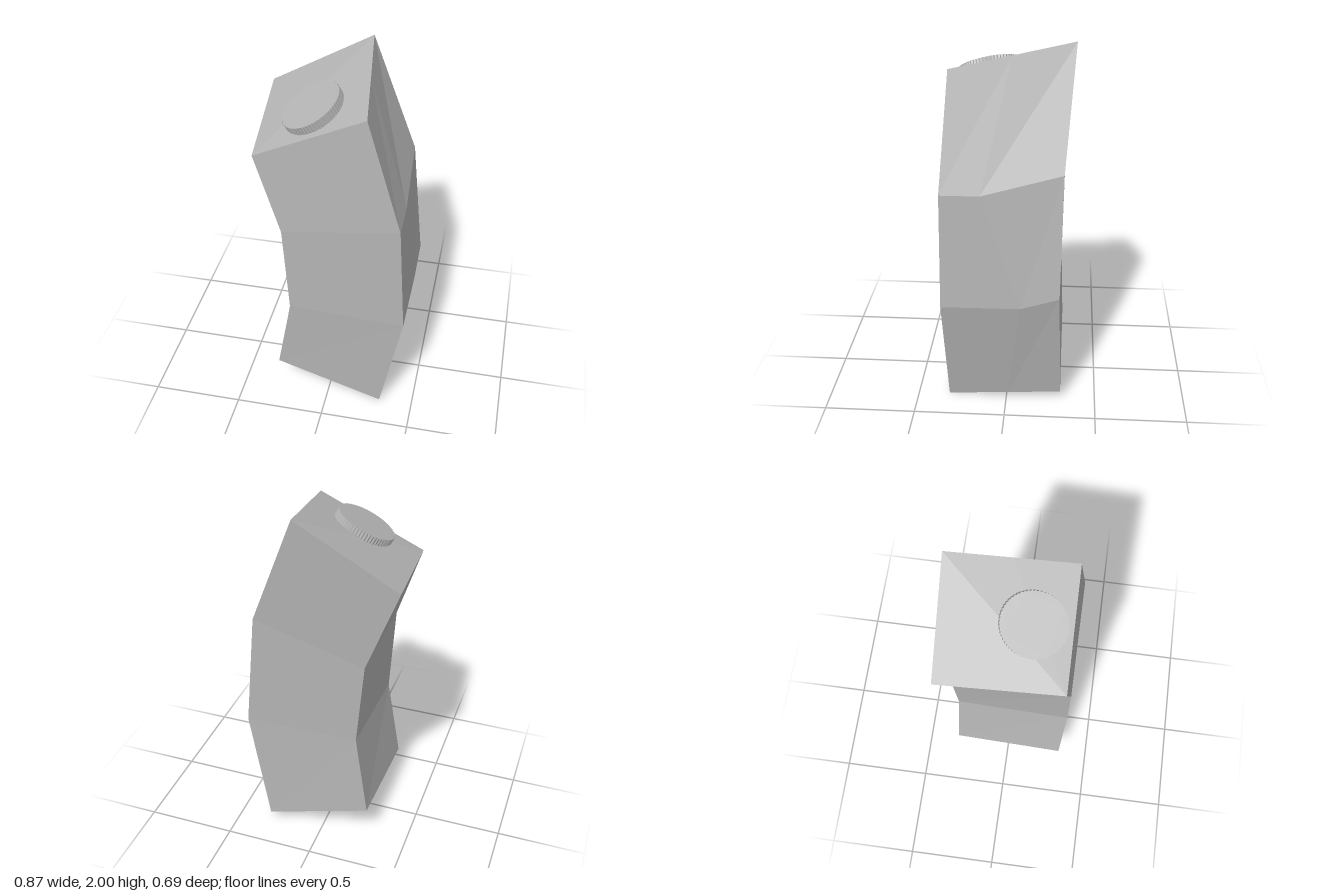
import * as THREE from 'three';

// Bent four-segment block: each ring runs front -x, front +x, side crease, back +x, back -x
const rings = [
  [[-0.29, 0.2, 0.325], [0.31, 0, 0.325], [0.313, 0.022, -0.01], [0.316, 0.04, -0.305], [-0.28, 0.23, -0.305]],
  [[-0.205, 0.66, 0.345], [0.43, 0.63, 0.345], [0.432, 0.635, -0.08], [0.433, 0.7, -0.29], [-0.205, 0.71, -0.29]],
  [[-0.237, 1.17, 0.342], [0.39, 1.26, 0.342], [0.388, 1.26, 0.13], [0.365, 1.375, -0.3], [-0.25, 1.2, -0.3]],
  [[-0.38, 1.605, 0.312], [0.2, 1.87, 0.302], [0.158, 1.935, -0.023], [0.115, 2, -0.348], [-0.435, 1.69, -0.335]],
];

function buildBody() {
  const pos = [];
  const tri = (a, b, c) => pos.push(...a, ...b, ...c);
  const n = rings[0].length;
  // side faces between neighbouring rings
  for (let i = 0; i < rings.length - 1; i++) {
    for (let j = 0; j < n; j++) {
      const k = (j + 1) % n;
      const lo = rings[i], hi = rings[i + 1];
      tri(lo[j], lo[k], hi[k]);
      tri(lo[j], hi[k], hi[j]);
    }
  }
  // end caps
  const bottom = rings[0], top = rings[rings.length - 1];
  for (let j = 1; j < n - 1; j++) {
    tri(bottom[0], bottom[j + 1], bottom[j]);
    tri(top[0], top[j], top[j + 1]);
  }
  const g = new THREE.BufferGeometry();
  g.setAttribute('position', new THREE.Float32BufferAttribute(pos, 3));
  g.computeVertexNormals();
  return g;
}

// Round knob with a finely toothed rim; its outer face lies at z = 0
function buildKnob(radius, depth, teeth) {
  const pts = [];
  for (let i = 0; i < teeth * 2; i++) {
    const a = (i / (teeth * 2)) * Math.PI * 2;
    const r = radius - (i % 2 ? 0.004 : 0);
    pts.push(new THREE.Vector2(Math.cos(a) * r, Math.sin(a) * r * 1.06));
  }
  const g = new THREE.ExtrudeGeometry(new THREE.Shape(pts), { depth, bevelEnabled: false });
  g.translate(0, 0, -depth);
  return g;
}

export function createModel() {
  const group = new THREE.Group();
  group.name = 'bentBlock';
  const grey = new THREE.MeshStandardMaterial({ color: 0xb4b4b4 });
  grey.name = 'grey';

  const body = new THREE.Mesh(buildBody(), grey);
  body.name = 'body';
  group.add(body);

  // knob standing square on the tilted top
  const knob = new THREE.Mesh(buildKnob(0.162, 0.08, 60), grey);
  knob.name = 'topKnob';
  const up = new THREE.Vector3(-0.441, 0.875, 0.197).normalize();
  knob.quaternion.setFromUnitVectors(new THREE.Vector3(0, 0, 1), up);
  knob.position.set(-0.121, 1.82, 0.117);
  group.add(knob);

  return group;
}
